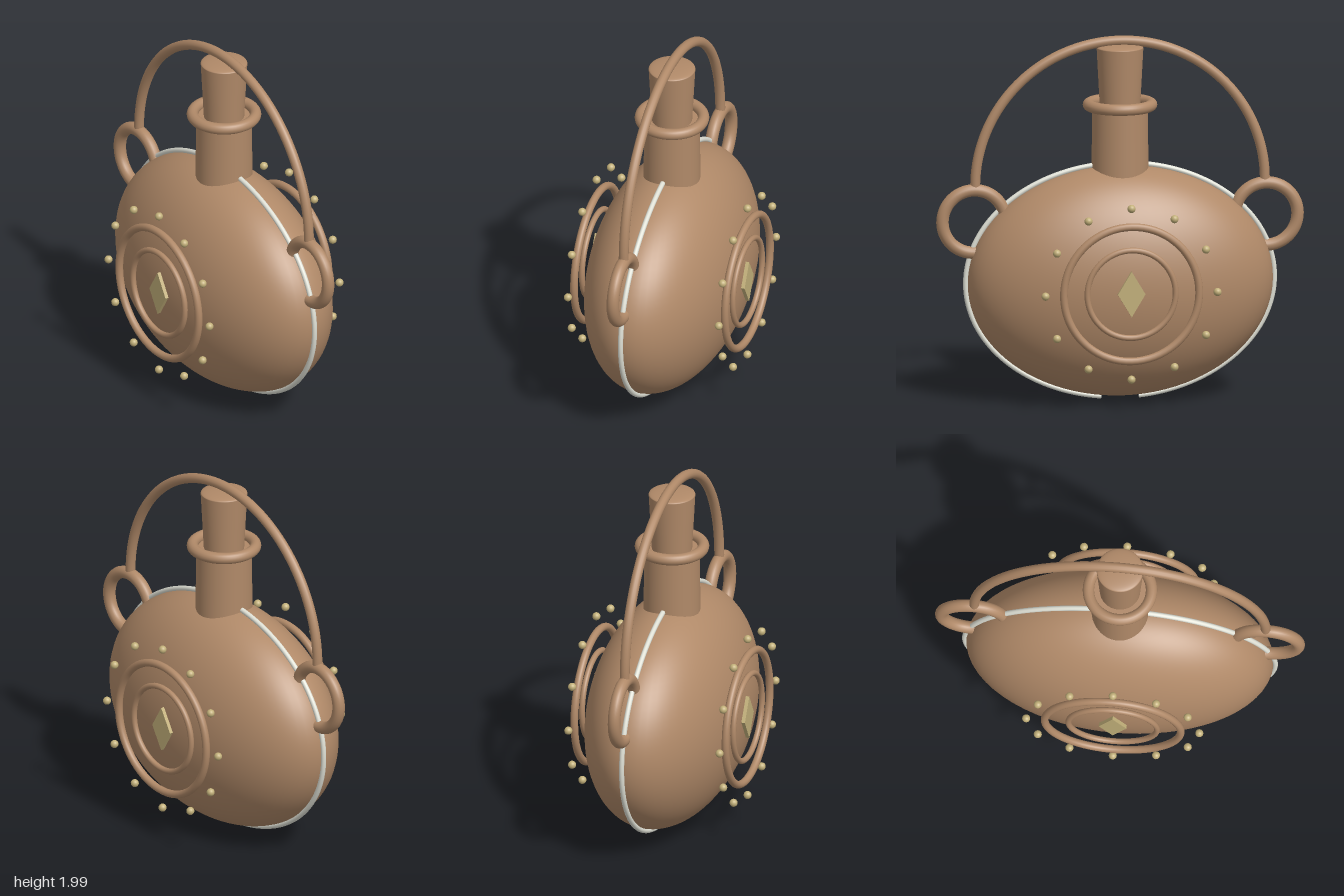
import * as THREE from 'three';

export function createModel() {
  const model = new THREE.Group();
  model.name = 'flask';
  const leather = new THREE.MeshStandardMaterial({ name: 'brown leather', color: 0xb08968 });
  const gold = new THREE.MeshStandardMaterial({ name: 'dull gold', color: 0xc2b07a });
  const cord = new THREE.MeshStandardMaterial({ name: 'pale cord', color: 0xdedfd4 });
  const CY = 0.65; // height of the body centre

  const add = (name, geometry, material, x = 0, y = 0, z = 0, parent = model) => {
    const mesh = new THREE.Mesh(geometry, material);
    mesh.name = name;
    mesh.position.set(x, y, z);
    parent.add(mesh);
    return mesh;
  };

  // Tube along an elliptical arc in the z = 0 plane, with flat end caps
  const arcTube = (name, cy, rx, ry, from, to, radius, material) => {
    const points = [];
    for (let i = 0; i <= 48; i++) {
      const a = from + (to - from) * i / 48;
      points.push(new THREE.Vector3(Math.cos(a) * rx, cy + Math.sin(a) * ry, 0));
    }
    const curve = new THREE.CatmullRomCurve3(points);
    add(name, new THREE.TubeGeometry(curve, 96, radius, 14), material);
    for (const t of [0, 1]) {
      const p = curve.getPointAt(t);
      const cap = add(name + 'End', new THREE.CircleGeometry(radius, 14), material, p.x, p.y, p.z);
      cap.lookAt(p.clone().addScaledVector(curve.getTangentAt(t), t ? 1 : -1));
    }
  };

  // Body
  add('body', new THREE.SphereGeometry(1, 64, 48).scale(0.83, 0.63, 0.41), leather, 0, CY);

  // Side seams, broken at the neck and at the base
  const seamEnd = THREE.MathUtils.degToRad(83);
  arcTube('leftSeam', CY, 0.84, 0.64, -seamEnd, seamEnd, 0.014, cord);
  arcTube('rightSeam', CY, 0.84, 0.64, Math.PI - seamEnd, Math.PI + seamEnd, 0.014, cord);

  // Neck, collar and stopper
  add('neck', new THREE.CylinderGeometry(0.15, 0.154, 0.4, 48), leather, 0, 1.4);
  add('collar', new THREE.TorusGeometry(0.17, 0.031, 16, 64).rotateX(Math.PI / 2), leather, 0, 1.61);
  add('stopper', new THREE.CylinderGeometry(0.126, 0.108, 0.34, 48, 1, true), leather, 0, 1.75);
  add('stopperTop', new THREE.SphereGeometry(0.126, 48, 10, 0, Math.PI * 2, 0, Math.PI / 2)
    .scale(1, 0.16, 1), leather, 0, 1.92);

  // Shoulder rings and carrying handle
  for (const side of [1, -1]) {
    add(side > 0 ? 'leftRing' : 'rightRing', new THREE.TorusGeometry(0.171, 0.034, 16, 64),
      leather, side * 0.795, 0.99);
  }
  arcTube('handle', 1.18, 0.788, 0.78, 0, Math.PI, 0.027, leather);

  // Medallion on the front and on the back
  for (const side of [1, -1]) {
    const medallion = new THREE.Group();
    medallion.name = side > 0 ? 'frontMedallion' : 'backMedallion';
    medallion.position.set(0, CY, side * 0.43);
    if (side < 0) medallion.rotation.y = Math.PI;
    model.add(medallion);
    add('outerRing', new THREE.TorusGeometry(0.368, 0.021, 14, 72), leather, 0, 0, 0, medallion);
    add('innerRing', new THREE.TorusGeometry(0.24, 0.016, 14, 64), leather, 0, 0, 0, medallion);

    const diamond = new THREE.Shape([[0, -0.125], [0.075, 0], [0, 0.125], [-0.075, 0]]
      .map(([x, y]) => new THREE.Vector2(x, y)));
    add('diamond', new THREE.ExtrudeGeometry(diamond, { depth: 0.02, bevelEnabled: false }),
      gold, 0, 0, -0.01, medallion);

    for (let i = 0; i < 12; i++) {
      const a = i * Math.PI / 6;
      add('stud', new THREE.SphereGeometry(0.022, 16, 12), gold,
        Math.cos(a) * 0.468, Math.sin(a) * 0.468, 0, medallion);
    }
  }
  return model;
}
